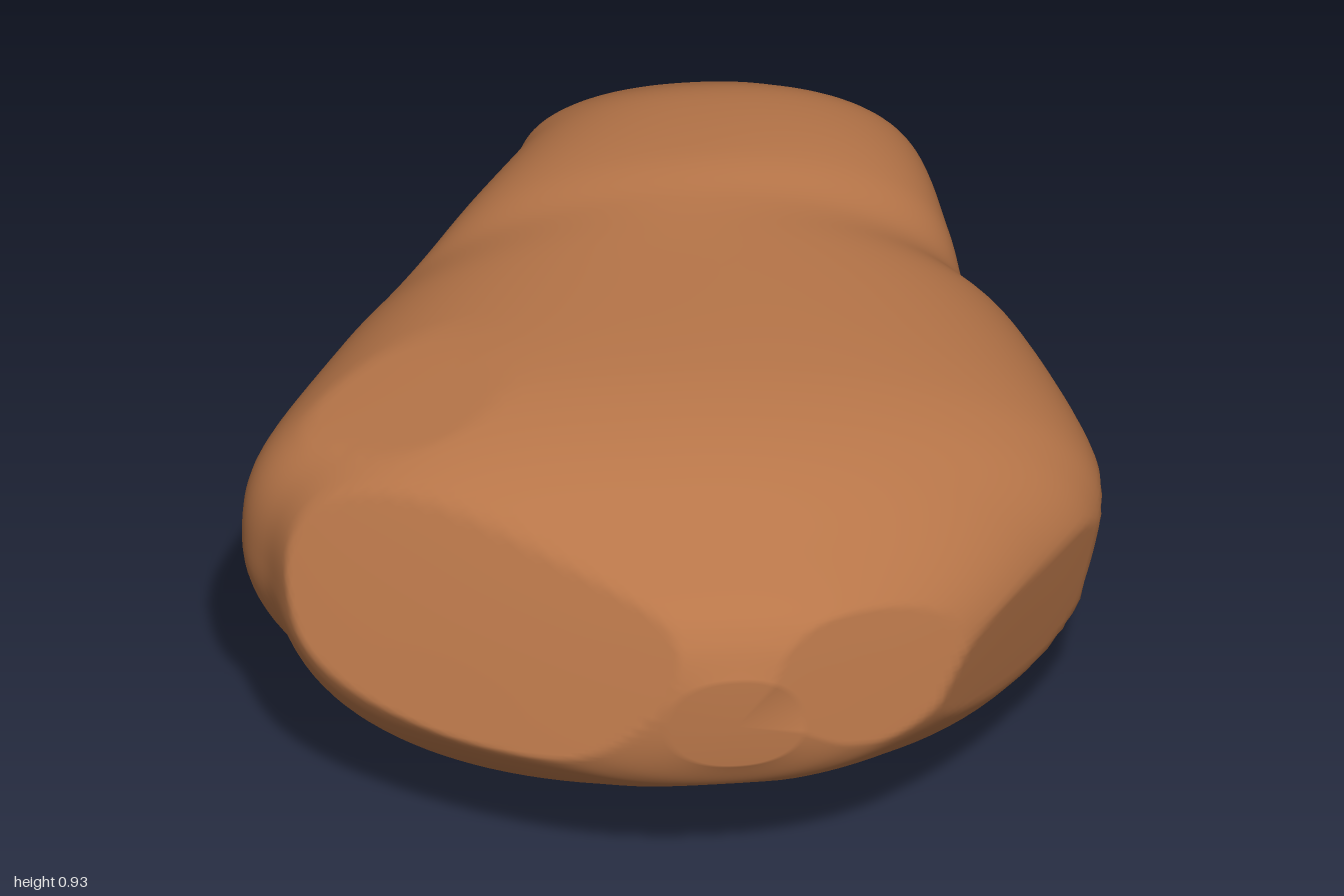
import * as THREE from 'three';

// Cross-sections from front to back: z, left x, right x, bottom y, top y, y of widest point, x of crest
const SECTIONS = [
  [1.0, -0.08, 0.2, 0.38, 0.59, 0.48, 0.06],
  [0.96, -0.28, 0.36, 0.31, 0.67, 0.48, 0.05],
  [0.9, -0.43, 0.48, 0.26, 0.73, 0.48, 0.04],
  [0.76, -0.64, 0.63, 0.17, 0.8, 0.49, 0.02],
  [0.58, -0.82, 0.77, 0.06, 0.88, 0.5, 0],
  [0.4, -0.875, 0.89, 0.02, 0.92, 0.51, -0.02],
  [0.2, -0.91, 0.91, 0.0, 0.93, 0.52, -0.02],
  [-0.18, -0.71, 0.8, 0.07, 0.92, 0.54, 0.03],
  [-0.34, -0.6, 0.7, 0.14, 0.92, 0.58, 0.07],
  [-0.5, -0.45, 0.67, 0.24, 0.93, 0.64, 0.11],
  [-0.75, -0.26, 0.62, 0.44, 0.9, 0.68, 0.15],
  [-0.88, -0.19, 0.49, 0.5, 0.84, 0.69, 0.15],
  [-0.96, -0.05, 0.35, 0.61, 0.78, 0.7, 0.15],
  [-1.0, 0.1, 0.19, 0.69, 0.74, 0.715, 0.15],
];

// Flat facets worn into the stone: normal, then a point on the plane
const FACETS = [
  [0.78, -0.2, 0.58, 0.85, 0.42, 0.41], // right front
  [0.95, -0.2, 0, 0.87, 0.38, 0.15], // right side
  [0.6, -0.78, 0.15, 0.78, 0.2, 0.25], // right underside
  [0.23, -0.97, 0, 0.4, 0.085, 0.2], // broad right base
  [-0.2, -0.98, 0, -0.3, 0.05, 0.2], // broad left base
  [-0.57, -0.1, 0.8, -0.6, 0.5, 0.78], // left front
  [-0.5, 0.35, 0.8, -0.65, 0.76, 0.55], // upper left front
  [-0.26, 0.965, 0, -0.56, 0.866, 0.2], // upper left
  [0, -0.84, 0.54, 0, 0.3, 0.95], // front underside
  [0.4, 0.2, 0.9, 0.35, 0.6, 0.9], // upper right front
  [0.7, -0.1, -0.7, 0.55, 0.66, -0.83], // lobe right
  [-0.75, 0.2, -0.62, -0.23, 0.7, -0.84], // lobe left
].map(([a, b, c, x, y, z]) => new THREE.Plane().setFromNormalAndCoplanarPoint(
  new THREE.Vector3(a, b, c).normalize(), new THREE.Vector3(x, y, z)));

const bump = (z, centre, width) => Math.exp(-(((z - centre) / width) ** 2));

// Fullness of the upper right, upper left, lower left and lower right quarters:
// the broad body swells at the upper left, the neck is pinched on top
function quarterPowers(z) {
  const body = bump(z, 0.4, 0.4), neck = bump(z, -0.38, 0.15);
  return [2.2 - 0.2 * body - 0.3 * neck, 2.25 + 0.6 * body - 0.35 * neck, 2.2 - 0.25 * body, 2.2 + 0.2 * body];
}

function stoneGeometry(rings = 120, sides = 128) {
  const spline = new THREE.CubicInterpolant(SECTIONS.map((_, i) => i), SECTIONS.flat(), 7, new Float32Array(7));
  const positions = [];
  const index = [];
  const p = new THREE.Vector3();
  const add = (x, y, z) => {
    p.set(x, y, z);
    for (const plane of FACETS) {
      const over = plane.distanceToPoint(p);
      if (over > 0) p.addScaledVector(plane.normal, -over * 0.95);
    }
    positions.push(p.x, p.y, p.z);
  };

  // Rounded loops, each with its own reach in four directions
  for (let j = 0; j <= rings; j++) {
    const [z, left, right, bottom, top, midY, midX] = spline.evaluate((j / rings) * (SECTIONS.length - 1));
    const powers = quarterPowers(z);
    for (let i = 0; i < sides; i++) {
      const a = (i / sides) * Math.PI * 2;
      const c = Math.cos(a), s = Math.sin(a);
      const power = powers[Math.floor((i * 4) / sides)];
      const r = (Math.abs(c) ** power + Math.abs(s) ** power) ** (-1 / power);
      add(midX + r * c * (c > 0 ? right - midX : midX - left),
        midY + r * s * (s > 0 ? top - midY : midY - bottom), z);
    }
  }
  for (let j = 0; j < rings; j++) {
    for (let i = 0; i < sides; i++) {
      const k = (i + 1) % sides;
      const a = j * sides + i, b = j * sides + k;
      index.push(a, a + sides, b, b, a + sides, b + sides);
    }
  }

  // Close both ends
  const front = (rings + 1) * sides, last = rings * sides;
  add(0.06, 0.48, 1);
  add(0.15, 0.715, -1);
  for (let i = 0; i < sides; i++) {
    const k = (i + 1) % sides;
    index.push(front, i, k, front + 1, last + k, last + i);
  }

  const geometry = new THREE.BufferGeometry();
  geometry.setAttribute('position', new THREE.Float32BufferAttribute(positions, 3));
  geometry.setIndex(index);
  geometry.computeVertexNormals();
  return geometry;
}

export function createModel() {
  const group = new THREE.Group();
  group.name = 'rock';
  const material = new THREE.MeshStandardMaterial({ color: 0xb87649 });
  material.name = 'brown stone';
  const stone = new THREE.Mesh(stoneGeometry(), material);
  stone.name = 'stone';
  group.add(stone);
  return group;
}
